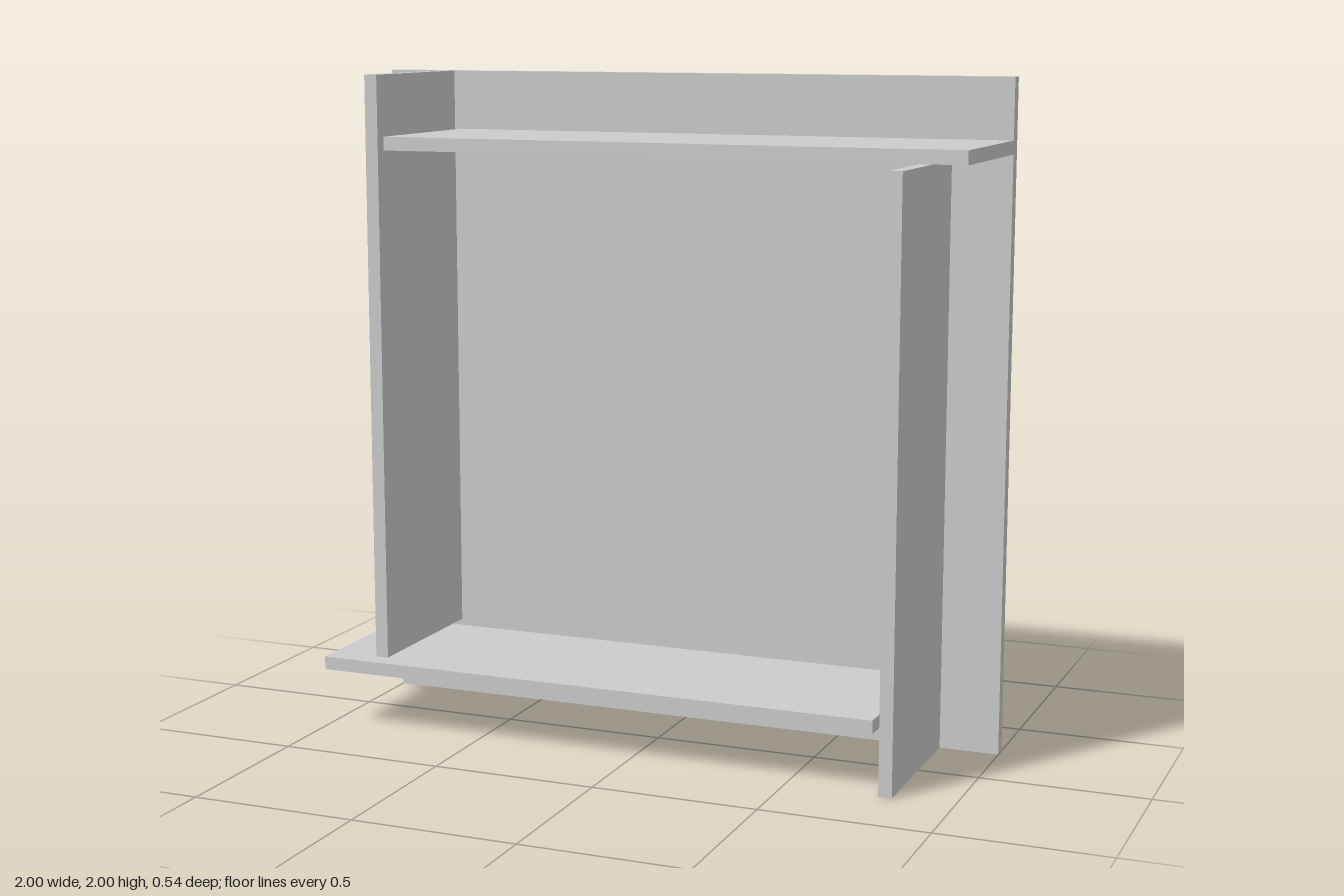
import * as THREE from 'three';

export function createModel() {
  const model = new THREE.Group();
  const material = new THREE.MeshStandardMaterial({ color: 0xcccccc, flatShading: true });
  const thickness = 0.04, frontZ = 0.27;
  const boardLength = 1.76, boardDepth = 2 * frontZ - thickness;

  // Square back panel
  const panel = new THREE.Mesh(new THREE.BoxGeometry(2, 2, thickness), material);
  panel.name = 'backPanel';
  panel.position.set(0, 1, -frontZ + thickness / 2);
  model.add(panel);

  // Four boards in a pinwheel, each a quarter turn from the last
  ['topBoard', 'leftBoard', 'bottomBoard', 'rightBoard'].forEach((name, i) => {
    const geometry = new THREE.BoxGeometry(boardLength, thickness, boardDepth);
    geometry.translate(1 - boardLength / 2, 0.8, thickness / 2);
    geometry.rotateZ(-i * Math.PI / 2);
    geometry.translate(0, 1, 0);
    const board = new THREE.Mesh(geometry, material);
    board.name = name;
    model.add(board);
  });

  return model;
}
